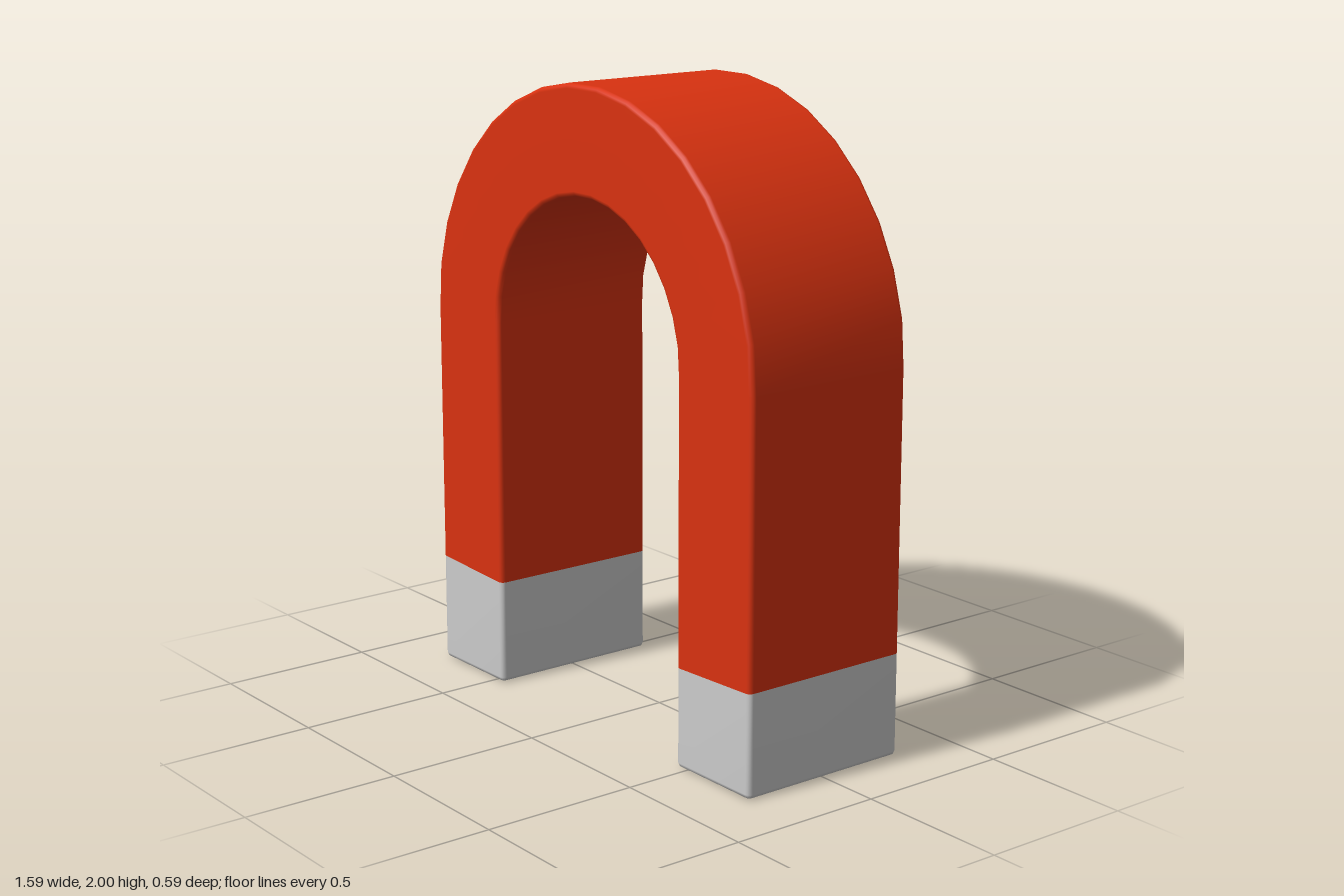
import * as THREE from 'three';

const HALF_DEPTH = 0.293, OUTER = 0.796, INNER = 0.457, ARC_Y = 1.205;
const BEVEL = 0.016, ARC_STEPS = 17, CORNER_STEPS = 3;

// Rounded rectangle across the bar, lying between an inner and an outer point
function crossSection({ inner, outer, inset = 0, scale = 1 }) {
  const a = new THREE.Vector2(...inner), b = new THREE.Vector2(...outer);
  const mid = a.clone().add(b).multiplyScalar(0.5);
  const dir = b.clone().sub(a).normalize();
  const hw = a.distanceTo(b) / 2 - inset, hd = HALF_DEPTH - inset;
  const r = Math.max(BEVEL - inset, 0.003);
  const points = [];
  [[1, 1], [-1, 1], [-1, -1], [1, -1]].forEach(([su, sv], q) => {
    for (let k = 0; k <= CORNER_STEPS; k++) {
      const t = (q + k / CORNER_STEPS) * Math.PI / 2;
      const u = (su * (hw - r) + r * Math.cos(t)) * scale;
      const z = (sv * (hd - r) + r * Math.sin(t)) * scale;
      points.push(mid.x + dir.x * u, mid.y + dir.y * u, z);
    }
  });
  return points;
}

// Skin a run of cross-sections
function loft(rings, color, name) {
  const n = 4 * (CORNER_STEPS + 1), index = [];
  for (let i = 0; i < rings.length - 1; i++) {
    for (let j = 0; j < n; j++) {
      const a = i * n + j, b = i * n + (j + 1) % n, c = a + n, d = b + n;
      index.push(a, c, b, b, c, d);
    }
  }
  const geo = new THREE.BufferGeometry();
  geo.setAttribute('position', new THREE.Float32BufferAttribute(rings.flatMap(crossSection), 3));
  geo.setIndex(index);
  geo.computeVertexNormals();
  const mesh = new THREE.Mesh(geo, new THREE.MeshStandardMaterial({ color }));
  mesh.name = name;
  return mesh;
}

// Level ring on one leg (side is +1 or -1)
const legRing = (side, y, extra = {}) =>
  ({ inner: [side * INNER, y], outer: [side * OUTER, y], ...extra });

// Closed, softly bevelled foot of a leg, from the bottom up
const footRings = (side) => [
  legRing(side, 0, { scale: 0 }),
  legRing(side, 0, { inset: BEVEL }),
  legRing(side, BEVEL * 0.3, { inset: BEVEL * 0.3 }),
  legRing(side, BEVEL),
];

export function createModel() {
  const group = new THREE.Group();
  group.name = 'horseshoeMagnet';

  // Slightly slanted colour boundaries on the two legs
  const leftCut = { inner: [INNER, 0.315], outer: [OUTER, 0.327] };
  const rightCut = { inner: [-INNER, 0.342], outer: [-OUTER, 0.357] };

  // Red body: up one leg, round the arch, down the other
  const body = [leftCut];
  for (let i = 0; i <= ARC_STEPS; i++) {
    const t = Math.PI * i / ARC_STEPS;
    const point = (r, limit) => [
      THREE.MathUtils.clamp(r * Math.cos(t), -limit, limit),
      ARC_Y + r * Math.sin(t),
    ];
    body.push({ inner: point(0.459, INNER), outer: point(0.799, OUTER) });
  }
  body.push(rightCut);
  group.add(loft(body, 0xd93210, 'body'));

  // Bare metal tips
  group.add(loft([...footRings(1), leftCut], 0xcccccc, 'leftTip'));
  group.add(loft([rightCut, ...footRings(-1).reverse()], 0xcccccc, 'rightTip'));
  return group;
}
